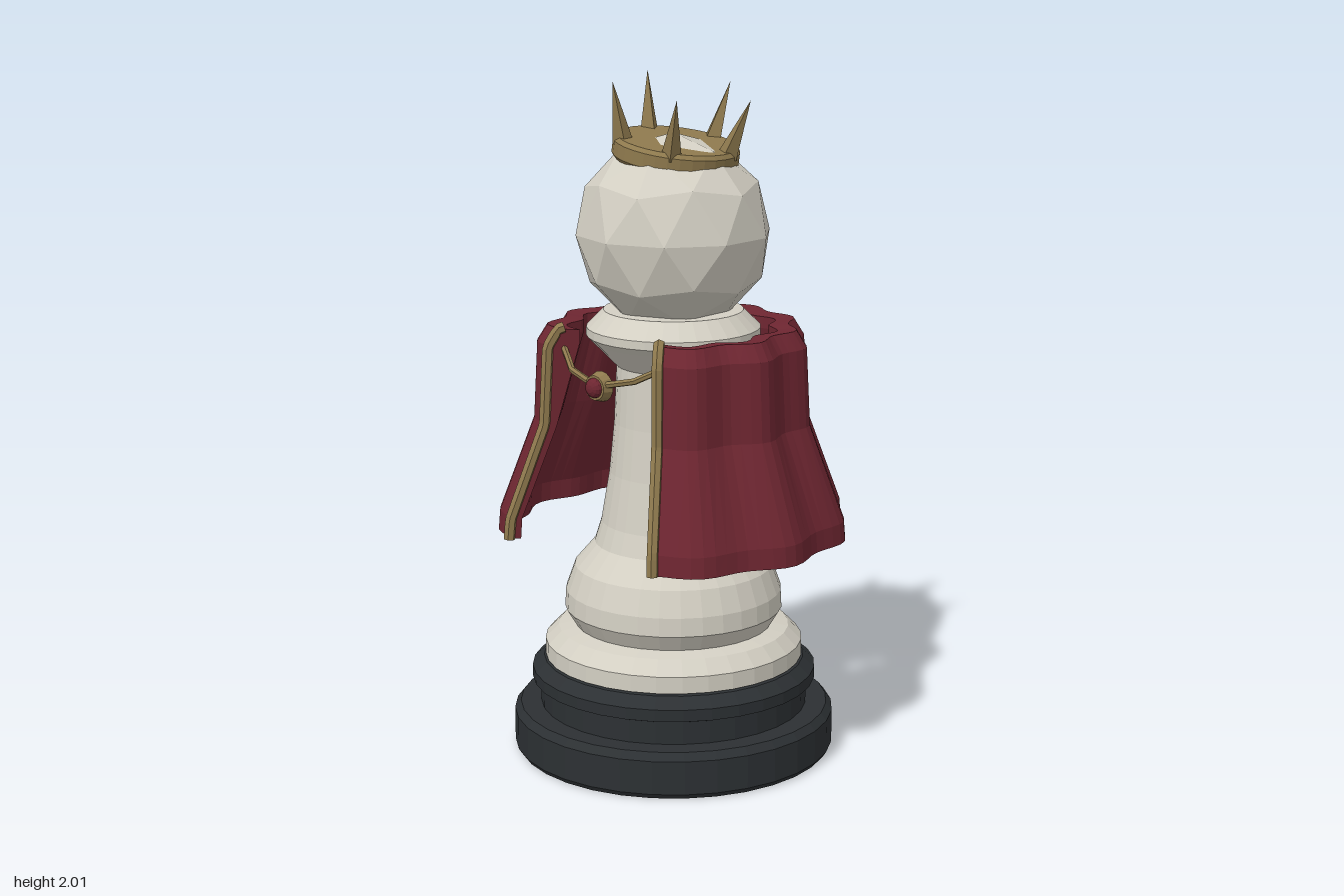
import * as THREE from 'three';

const CENTRE_Z = 0.02;
const OPEN = 0.6; // half angle of the cape opening, measured from the front

const paint = (color, extra = {}) => new THREE.MeshStandardMaterial({ color, flatShading: true, ...extra });
const ivory = paint(0xd3cfc3);
const black = paint(0x2c3033);
const gold = paint(0x8f7a4e, { side: THREE.DoubleSide });
const cloth = paint(0x6e2631, { side: THREE.DoubleSide });

function add(parent, name, geometry, material) {
  const mesh = new THREE.Mesh(geometry, material);
  mesh.name = name;
  parent.add(mesh);
  return mesh;
}

const lathe = (profile) => new THREE.LatheGeometry(profile.map(([r, y]) => new THREE.Vector2(r, y)), 32);

// Tube along straight pieces between points
function rod(points, radius, sides, steps) {
  const path = new THREE.CurvePath();
  for (let i = 1; i < points.length; i++) path.add(new THREE.LineCurve3(points[i - 1], points[i]));
  return new THREE.TubeGeometry(path, steps, radius, sides);
}

// Cape section as [radius, height]: outside from hem to shoulder, then inside back down
const OUTER = [[0.505, 0.67], [0.5, 0.73], [0.395, 1.01], [0.383, 1.24], [0.352, 1.29]];
const INNER = [[0.295, 1.285], [0.295, 1.25], [0.368, 1.0], [0.474, 0.73], [0.478, 0.67]];

// Point on the cape with its wavy folds
function capePoint(r, y, angle) {
  const folded = r + 0.017 * Math.cos(11 * (angle - Math.PI));
  return new THREE.Vector3(folded * Math.sin(angle), y, folded * Math.cos(angle));
}

function capeGeometry() {
  const section = [...OUTER, ...INNER];
  const n = section.length, columns = 72;
  const positions = [], index = [];
  for (let i = 0; i <= columns; i++) {
    const angle = OPEN + (i / columns) * (2 * Math.PI - 2 * OPEN);
    for (const [r, y] of section) positions.push(...capePoint(r, y, angle).toArray());
  }
  const quad = (a, b, c, d) => index.push(a, b, c, a, c, d);
  for (let i = 0; i < columns; i++) {
    for (let j = 0; j < n; j++) {
      const k = (j + 1) % n;
      quad(i * n + j, (i + 1) * n + j, (i + 1) * n + k, i * n + k);
    }
  }
  // Close the two front edges
  const last = columns * n;
  for (let j = 0; j < n / 2 - 1; j++) {
    quad(j, j + 1, n - 2 - j, n - 1 - j);
    quad(last + n - 1 - j, last + n - 2 - j, last + j + 1, last + j);
  }
  const geometry = new THREE.BufferGeometry();
  geometry.setAttribute('position', new THREE.Float32BufferAttribute(positions, 3));
  geometry.setIndex(index);
  geometry.computeVertexNormals();
  return geometry;
}

function makeCrown() {
  const crown = new THREE.Group();
  crown.name = 'crown';
  add(crown, 'crownBand', lathe([[0, -0.065], [0.172, -0.065], [0.184, -0.052], [0.184, -0.012], [0.174, 0], [0, 0]]), gold);
  for (let i = 0; i < 5; i++) {
    const arm = new THREE.Group();
    arm.name = 'crownSpike';
    arm.rotation.y = Math.PI / 2 + (i * 2 * Math.PI) / 5;
    const spike = add(arm, 'spike', new THREE.ConeGeometry(0.03, 0.18, 4).translate(0, 0.09, 0), gold);
    spike.position.set(0.158, -0.015, 0);
    spike.rotation.z = -0.28;
    crown.add(arm);
  }
  crown.position.set(0.01, 1.825, -0.005);
  crown.rotation.z = -0.157;
  return crown;
}

export function createModel() {
  const model = new THREE.Group();
  model.name = 'crownedPawn';
  const piece = new THREE.Group();
  piece.name = 'piece';
  piece.position.z = CENTRE_Z;
  model.add(piece);

  // Dark stepped base
  add(piece, 'base', lathe([
    [0, 0], [0.47, 0], [0.48, 0.015], [0.48, 0.115], [0.462, 0.137], [0.4, 0.137], [0.4, 0.205],
    [0.425, 0.215], [0.425, 0.25], [0.39, 0.28], [0, 0.29],
  ]), black);

  // Pale turned body with collar
  add(piece, 'body', lathe([
    [0, 0.285], [0.385, 0.285], [0.385, 0.335], [0.345, 0.375], [0.295, 0.385], [0.325, 0.435],
    [0.322, 0.49], [0.295, 0.565], [0.235, 0.635], [0.215, 0.7], [0.19, 0.85], [0.175, 1.0],
    [0.167, 1.17], [0.235, 1.24], [0.255, 1.26], [0.255, 1.285], [0.205, 1.335], [0, 1.335],
  ]), ivory);

  // Faceted head, one corner straight up
  const head = new THREE.IcosahedronGeometry(0.288, 1);
  head.rotateX(-Math.atan((1 + Math.sqrt(5)) / 2)).rotateY(Math.PI / 2);
  add(piece, 'head', head, ivory).position.y = 1.56;
  piece.add(makeCrown());

  // Cape with gold edging and neck cord on each side
  add(piece, 'cape', capeGeometry(), cloth);
  for (const side of [-1, 1]) {
    const edge = [...OUTER, [0.335, 1.295]].map(([r, y]) => capePoint(r + 0.008, y, side * OPEN));
    add(piece, side > 0 ? 'leftCapeTrim' : 'rightCapeTrim', rod(edge, 0.017, 6, 40), gold);
    const cord = [[0.19, 1.235, 0.265], [0.165, 1.21, 0.275], [0.12, 1.185, 0.305], [0.03, 1.165, 0.325]]
      .map(([x, y, z]) => new THREE.Vector3(side * x, y, z));
    add(piece, side > 0 ? 'leftCord' : 'rightCord', rod(cord, 0.01, 6, 16), gold);
  }

  // Clasp with a red stone
  const clasp = new THREE.Group();
  clasp.name = 'clasp';
  clasp.position.set(0, 1.155, 0.325);
  clasp.rotation.x = Math.PI / 2;
  add(clasp, 'claspMount', new THREE.CylinderGeometry(0.036, 0.045, 0.03, 14), gold);
  add(clasp, 'claspStone', new THREE.SphereGeometry(0.03, 12, 8).scale(1, 0.8, 1), cloth).position.y = 0.013;
  piece.add(clasp);

  return model;
}
